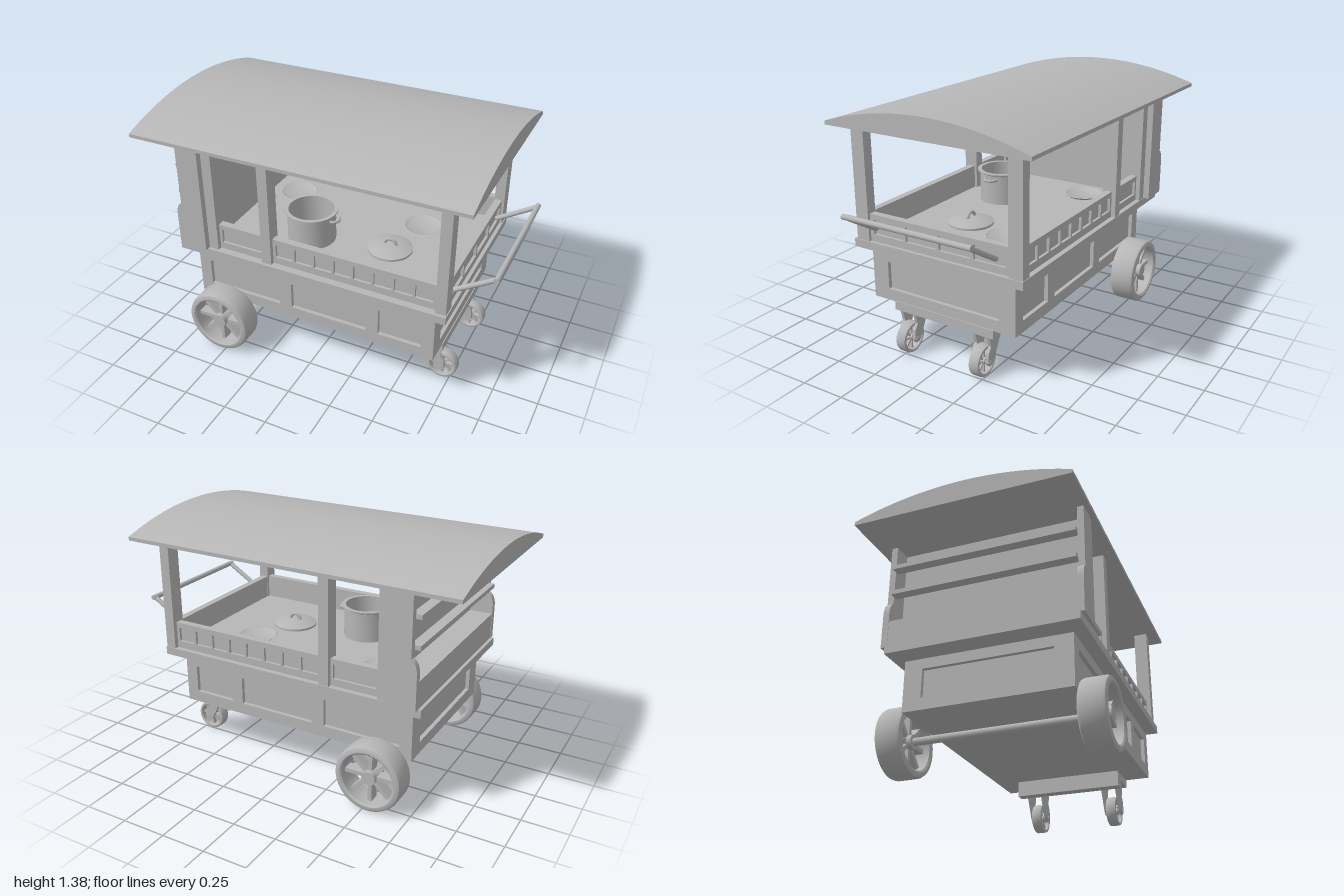
import * as THREE from 'three';
import { toCreasedNormals } from 'three/addons/utils/BufferGeometryUtils.js';

const grey = new THREE.MeshStandardMaterial({ color: 0xb6b6b6 });
grey.name = 'plain grey';
const greyOpen = grey; // every part is closed, one finish throughout

function add(parent, name, geo, x = 0, y = 0, z = 0) {
  const m = new THREE.Mesh(geo, greyOpen);
  m.name = name;
  m.position.set(x, y, z);
  parent.add(m);
  return m;
}
// box given by its limits
function box(parent, name, x0, x1, y0, y1, z0, z1) {
  return add(parent, name, new THREE.BoxGeometry(x1 - x0, y1 - y0, z1 - z0),
    (x0 + x1) / 2, (y0 + y1) / 2, (z0 + z1) / 2);
}
// round bar between two points
function rod(parent, name, a, b, r) {
  const curve = new THREE.LineCurve3(new THREE.Vector3(...a), new THREE.Vector3(...b));
  const m = add(parent, name, new THREE.CylinderGeometry(r, r, curve.getLength(), 16));
  m.position.copy(curve.getPoint(0.5));
  m.quaternion.setFromUnitVectors(new THREE.Vector3(0, 1, 0), curve.getTangent(0));
  return m;
}
function polygon(points) {
  return new THREE.Shape(points.map(p => new THREE.Vector2(...p)));
}
// flat frame with rectangular openings, extruded by depth
function frameGeo(u0, u1, v0, v1, windows, w0, w1, depth) {
  const s = polygon([[u0, v0], [u1, v0], [u1, v1], [u0, v1]]);
  for (const [a, b] of windows)
    s.holes.push(polygon([[a, w0], [a, w1], [b, w1], [b, w0]]));
  return new THREE.ExtrudeGeometry(s, { depth, bevelEnabled: false });
}
function lathe(points, segments = 40) {
  const g = new THREE.LatheGeometry(points.map(p => new THREE.Vector2(...p)), segments);
  return toCreasedNormals(g, 0.6);
}

// spoked wheel with its axle along z
function wheel(name, r, width, spokes) {
  const g = new THREE.Group();
  g.name = name;
  const h = width / 2, i = r * 0.78, c = r * 0.1;
  const tyre = lathe([[i, -h + c * 0.4], [i + c * 0.5, -h], [r - c, -h], [r - c * 0.3, -h + c * 0.35], [r, -h + c * 1.1],
    [r, h - c * 1.1], [r - c * 0.3, h - c * 0.35], [r - c, h], [i + c * 0.5, h], [i, h - c * 0.4], [i, -h + c * 0.4]], 48);
  tyre.rotateX(Math.PI / 2);
  add(g, 'tyre', tyre);
  const hub = new THREE.CylinderGeometry(r * 0.21, r * 0.21, width * 0.75, 24);
  hub.rotateX(Math.PI / 2);
  add(g, 'hub', hub);
  for (let k = 0; k < spokes; k++) {
    const a = (k / spokes) * Math.PI * 2;
    const s = add(g, 'spoke', new THREE.BoxGeometry(r * 0.64, r * 0.12, width * 0.4),
      Math.cos(a) * r * 0.49, Math.sin(a) * r * 0.49, 0);
    s.rotation.z = a;
  }
  return g;
}

function addRoof(cart) {
  // curved canopy, solid down to a flat underside
  const pts = [[-0.597, 1.256], [0.597, 1.256], [0.597, 1.276]];
  const half = 0.597, rise = 0.097, R = (half * half + rise * rise) / (2 * rise), A = Math.asin(half / R);
  for (let i = 1; i <= 32; i++) {
    const a = A - (2 * A * i) / 32;
    pts.push([R * Math.sin(a), 1.276 + rise - R + R * Math.cos(a)]);
  }
  const g = new THREE.ExtrudeGeometry(polygon(pts), { depth: 1.89, bevelEnabled: false });
  g.translate(0, -1.256, -0.945);
  g.rotateY(Math.PI / 2);
  const roof = add(cart, 'roof', toCreasedNormals(g, 0.5), -0.055, 1.257, -0.023);
  roof.rotation.z = 0.0065;
}

function addBody(cart) {
  // cabinet with sunken panels on all four sides
  const body = new THREE.Group();
  body.name = 'cabinet';
  body.position.z = 0.02;
  cart.add(body);
  const d = 0.022, x0 = -0.71, x1 = 0.715, z = 0.45;
  box(body, 'cabinetCore', x0 + d, x1 - d, 0.28, 0.56, -z + d, z - d);
  const long = frameGeo(x0, x1, 0.28, 0.56, [[-0.64, -0.195], [-0.12, 0.33], [0.40, 0.645]], 0.345, 0.503, d);
  add(body, 'frontPanelFrame', long, 0, 0, z - d);
  add(body, 'backPanelFrame', long, 0, 0, -z);
  const end = frameGeo(-z + d, z - d, 0.28, 0.56, [[-0.35, 0.35]], 0.345, 0.503, d);
  end.rotateY(Math.PI / 2);
  add(body, 'rightPanelFrame', end, x1 - d, 0, 0);
  add(body, 'leftPanelFrame', end, x0, 0, 0);
  box(cart, 'neck', -0.64, 0.635, 0.555, 0.59, -0.33, 0.345);
  box(cart, 'deck', -0.785, 0.785, 0.585, 0.63, -0.513, 0.527);
}

function addRailings(cart) {
  // low panelled wall round the worktop
  const small = [-0.195, -0.08, 0.035, 0.15, 0.262, 0.376, 0.49, 0.604].map(x => [x, x + 0.1]);
  const long = frameGeo(-0.6, 0.765, 0.63, 0.78, [[-0.53, -0.285], ...small], 0.67, 0.75, 0.015);
  for (const s of [1, -1]) {
    add(cart, 'sideRailFrame', long, 0, 0, s > 0 ? 0.47 : -0.485);
    box(cart, 'sideRail', -0.6, 0.75, 0.63, 0.78, s > 0 ? 0.445 : -0.47, s > 0 ? 0.47 : -0.445);
  }
  const end = frameGeo(-0.47, 0.47, 0.63, 0.78, [-0.405, -0.197, 0.012, 0.22].map(z => [z, z + 0.188]), 0.67, 0.75, 0.015);
  end.rotateY(Math.PI / 2);
  add(cart, 'endRailFrame', end, 0.75, 0, 0);
  box(cart, 'endRail', 0.725, 0.75, 0.63, 0.78, -0.445, 0.445);
  box(cart, 'worktop', -0.6, 0.725, 0.63, 0.645, -0.445, 0.445);
  // roof posts
  for (const x of [-0.605, -0.27, 0.722])
    for (const z of [-0.51, 0.43]) box(cart, 'post', x, x + 0.058, 0.63, 1.265, z, z + 0.08);
}

function addShelfUnit(cart) {
  // shelving on the closed end
  const s = new THREE.Shape();
  s.moveTo(-0.605, 0.63);
  s.lineTo(-0.605, 1.258);
  s.lineTo(-0.738, 1.258);
  s.lineTo(-0.738, 0.9);
  s.quadraticCurveTo(-0.77, 0.88, -0.77, 0.82);
  s.lineTo(-0.77, 0.63);
  const side = new THREE.ExtrudeGeometry(s, { depth: 0.035, bevelEnabled: false });
  add(cart, 'shelfSide', side, 0, 0, 0.51);
  add(cart, 'shelfSide', side, 0, 0, -0.545);
  box(cart, 'endWall', -0.635, -0.605, 0.63, 1.258, -0.51, 0.51);
  box(cart, 'shelfBase', -0.768, -0.635, 0.63, 0.78, -0.51, 0.51);
  for (const y of [0.94, 1.095]) box(cart, 'shelfRail', -0.77, -0.715, y, y + 0.024, -0.51, 0.51);
}

function addCookware(cart) {
  // tall open pot with two side grips
  const pot = new THREE.Group();
  pot.name = 'pot';
  pot.position.set(-0.135, 0.645, 0.185);
  cart.add(pot);
  add(pot, 'potShell', lathe([[0, 0], [0.135, 0], [0.135, 0.17], [0.149, 0.178], [0.149, 0.186],
    [0.127, 0.186], [0.127, 0.012], [0, 0.012]]));
  for (const s of [1, -1]) {
    const grip = add(pot, 'potGrip', new THREE.TorusGeometry(0.036, 0.009, 8, 16, Math.PI), s * 0.132, 0.15, 0);
    grip.rotation.set(Math.PI / 2, 0, -s * Math.PI / 2);
  }
  // lid with an arched handle
  const lid = new THREE.Group();
  lid.name = 'lid';
  lid.position.set(0.31, 0.645, 0.11);
  cart.add(lid);
  add(lid, 'lidDome', lathe([[0, 0], [0.125, 0], [0.125, 0.012], [0.09, 0.026], [0.045, 0.034], [0, 0.036]]));
  add(lid, 'lidHandle', new THREE.TorusGeometry(0.032, 0.009, 8, 16, Math.PI), 0, 0.032, 0);
  // shallow dishes
  for (const [x, z] of [[0.394, -0.17], [-0.425, -0.2]])
    add(cart, 'dish', lathe([[0, 0], [0.09, 0], [0.115, 0.016], [0.107, 0.018], [0.085, 0.007], [0, 0.007]]), x, 0.645, z);
}

function addRunningGear(cart) {
  // large wheels on a through axle
  for (const z of [0.543, -0.505]) {
    const w = wheel('largeWheel', 0.187, 0.146, 8);
    w.position.set(-0.53, 0.192, z);
    cart.add(w);
  }
  rod(cart, 'axle', [-0.53, 0.192, -0.5], [-0.53, 0.192, 0.54], 0.021);
  // caster mount and two casters
  box(cart, 'casterBeam', 0.52, 0.72, 0.235, 0.285, -0.30, 0.33);
  box(cart, 'casterBlock', 0.52, 0.58, 0.19, 0.235, -0.30, 0.33);
  const fork = new THREE.ExtrudeGeometry(
    polygon([[0.60, 0.236], [0.675, 0.09], [0.69, 0.07], [0.715, 0.07], [0.728, 0.09], [0.722, 0.145], [0.70, 0.175], [0.715, 0.236]]),
    { depth: 0.018, bevelEnabled: false });
  for (const z of [0.249, -0.222]) {
    const w = wheel('casterWheel', 0.086, 0.062, 8);
    w.position.set(0.705, 0.09, z);
    cart.add(w);
    for (const s of [1, -1]) add(cart, 'casterFork', fork, 0, 0, z + s * 0.043 - 0.009);
    rod(cart, 'casterPin', [0.705, 0.09, z - 0.055], [0.705, 0.09, z + 0.055], 0.012);
  }
}

function addHandle(cart) {
  // push bar on two sloping arms
  for (const z of [0.39, -0.35]) rod(cart, 'handleArm', [0.765, 0.705, z], [0.985, 0.84, z], 0.014);
  rod(cart, 'handleBar', [0.985, 0.84, -0.367], [0.985, 0.84, 0.406], 0.015);
}

export function createModel() {
  const cart = new THREE.Group();
  cart.name = 'foodCart';
  for (const part of [addRoof, addBody, addRailings, addShelfUnit, addCookware, addRunningGear, addHandle]) part(cart);
  return cart;
}
